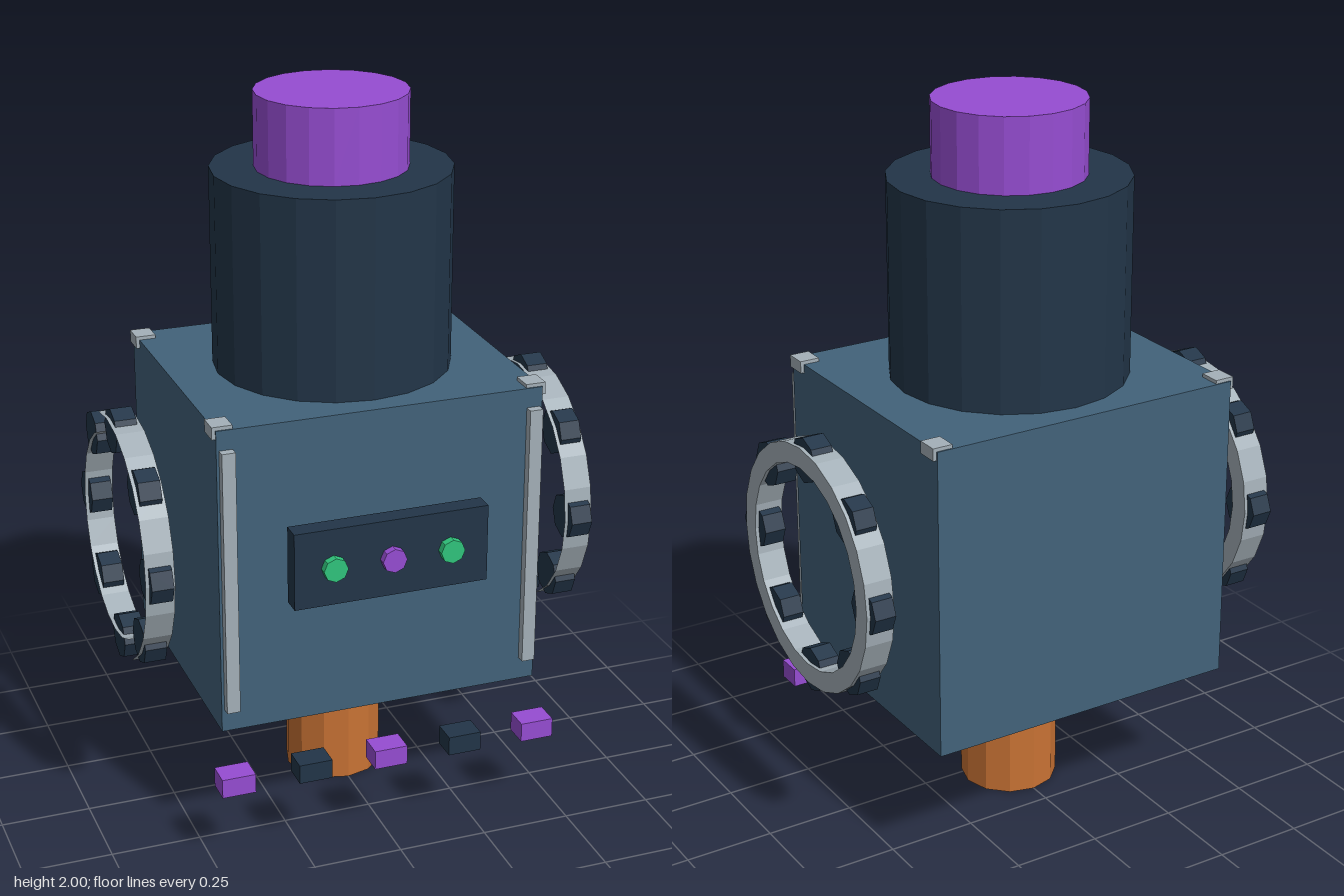
import * as THREE from 'three';

const paint = (name, color) => {
  const m = new THREE.MeshStandardMaterial({ color });
  m.name = name;
  return m;
};

// Separate the facets so every face is shaded flat
const faceted = (geometry) => {
  const g = geometry.index ? geometry.toNonIndexed() : geometry;
  g.computeVertexNormals();
  return g;
};

export function createModel() {
  const slate = paint('slate blue', 0x42627a);
  const navy = paint('dark navy', 0x223548);
  const violet = paint('violet', 0x964dd2);
  const copper = paint('copper', 0xc87234);
  const silver = paint('silver', 0xa4b0b8);
  const green = paint('green', 0x30c47c);

  const model = new THREE.Group();
  model.name = 'machine';
  const axisZ = -0.05;

  const add = (name, geometry, material, x, y, z, parent = model) => {
    const mesh = new THREE.Mesh(faceted(geometry), material);
    mesh.name = name;
    mesh.position.set(x, y, z);
    parent.add(mesh);
    return mesh;
  };
  const box = (name, w, h, d, material, x, y, z) =>
    add(name, new THREE.BoxGeometry(w, h, d), material, x, y, z);
  const column = (name, r, y0, y1, sides, material) =>
    add(name, new THREE.CylinderGeometry(r, r, y1 - y0, sides), material, 0, (y0 + y1) / 2, axisZ);

  // Central stack: pipe, body, tower and cap
  column('pipe', 0.137, 0, 0.376, 12, copper);
  box('body', 0.91, 0.87, 0.78, slate, 0, 0.81, axisZ);
  column('tower', 0.327, 1.245, 1.795, 20, navy);
  column('cap', 0.208, 1.795, 2, 20, violet);

  // Corner plates and front edge strips
  for (const side of [-1, 1]) {
    for (const z of [-0.405, 0.305]) {
      box('cornerPlate', 0.056, 0.034, 0.062, silver, side * 0.437, 1.238, z);
    }
    box('edgeStrip', 0.037, 0.75, 0.03, silver, side * 0.429, 0.815, 0.35);
  }

  // Control panel with three buttons
  box('panel', 0.546, 0.218, 0.055, navy, 0, 0.85, 0.388);
  for (const i of [-1, 0, 1]) {
    const button = new THREE.CylinderGeometry(0.034, 0.034, 0.03, 8).rotateX(Math.PI / 2);
    add('button', button, i === 0 ? violet : green, i * 0.165, 0.85, 0.423);
  }

  // Row of small floating blocks under the front
  for (let i = -2; i <= 2; i++) {
    box('lowerBlock', 0.094, 0.055, 0.072, i % 2 === 0 ? violet : navy, i * 0.218, 0.248, 0.387);
  }

  // Side rings, open on the -x side, each with eight studs
  const profile = [[0.344, -0.04], [0.344, 0.04], [0.287, 0.04], [0.287, -0.04]]
    .map(([r, h]) => new THREE.Vector2(r, h));
  for (const side of [-1, 1]) {
    const wheel = new THREE.Group();
    wheel.name = side > 0 ? 'leftWheel' : 'rightWheel';
    wheel.position.set(side * 0.6, 0.813, axisZ);
    model.add(wheel);
    add('ring', new THREE.LatheGeometry(profile, 24).rotateZ(-Math.PI / 2), silver, 0, 0, 0, wheel);
    for (let i = 0; i < 8; i++) {
      const a = (i * Math.PI) / 4;
      const stud = new THREE.CylinderGeometry(0.064, 0.064, 0.06, 8).rotateZ(-Math.PI / 2);
      add('stud', stud, navy, 0, 0.307 * Math.sin(a), 0.307 * Math.cos(a), wheel);
    }
  }
  return model;
}
